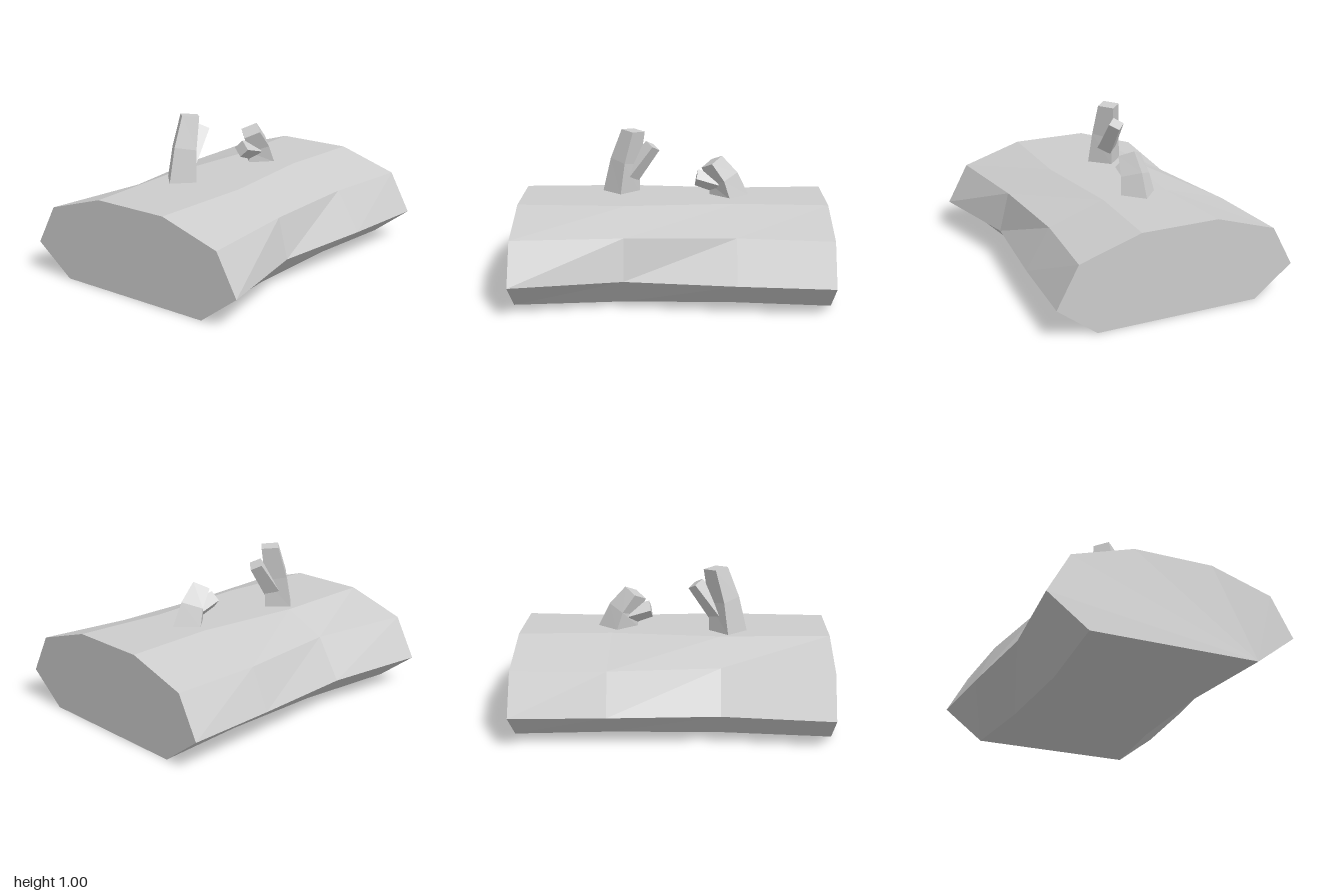
import * as THREE from 'three';

const stone = new THREE.MeshStandardMaterial({ color: 0xcccccc });
stone.name = 'plain grey';

// Faceted solid through a series of rings of [x, y, z] points, closed at both ends
function loft(name, rings) {
  const pos = [];
  const tri = (a, b, c) => pos.push(...a, ...b, ...c);
  const n = rings[0].length;
  for (let i = 0; i < rings.length - 1; i++) {
    const a = rings[i], b = rings[i + 1];
    for (let k = 0; k < n; k++) {
      const m = (k + 1) % n;
      tri(a[k], b[k], b[m]);
      tri(a[k], b[m], a[m]);
    }
  }
  const first = rings[0], last = rings[rings.length - 1];
  for (let k = 1; k < n - 1; k++) {
    tri(first[0], first[k], first[k + 1]);
    tri(last[0], last[k + 1], last[k]);
  }
  const geo = new THREE.BufferGeometry();
  geo.setAttribute('position', new THREE.Float32BufferAttribute(pos, 3));
  geo.computeVertexNormals(); // unshared corners give flat facets
  const mesh = new THREE.Mesh(geo, stone);
  mesh.name = name;
  return mesh;
}

// Diamond ring square to a direction (degrees in the xy plane)
function diamond(x, y, z, deg, r, rz = r) {
  const t = THREE.MathUtils.degToRad(deg);
  const ux = -Math.sin(t) * r, uy = Math.cos(t) * r;
  return [[x, y, z + rz], [x + ux, y + uy, z], [x, y, z - rz], [x - ux, y - uy, z]];
}

export function createModel() {
  const group = new THREE.Group();
  group.name = 'log';

  // Trunk: flat-bottomed eight-sided sections, pinched in the middle
  const heights = [0, 0.195, 0.455, 0.58, 0.58, 0.455, 0.195, 0];
  const sections = [
    [-1, [0.54, 0.797, 0.655, 0.255, -0.258, -0.658, -0.8, -0.54]],
    [-0.3, [0.47, 0.66, 0.595, 0.287, -0.29, -0.567, -0.725, -0.48]],
    [0.4, [0.48, 0.745, 0.587, 0.22, -0.222, -0.65, -0.772, -0.49]],
    [1, [0.54, 0.797, 0.655, 0.255, -0.258, -0.658, -0.8, -0.54]],
  ];
  group.add(loft('trunk', sections.map(([x, zs]) => zs.map((z, k) => [x, heights[k], z]))));

  // Tall branch with its twig
  group.add(loft('tallBranch', [
    diamond(-0.35, 0.575, -0.138, 90, 0.124, 0.12),
    diamond(-0.322, 0.785, -0.138, 78, 0.1),
    diamond(-0.267, 0.993, -0.135, 84, 0.078),
  ]));
  group.add(loft('tallBranchTwig', [
    diamond(-0.29, 0.69, -0.133, 55, 0.07),
    diamond(-0.137, 0.89, -0.133, 55, 0.055),
  ]));

  // Short bent branch with its twig
  group.add(loft('shortBranch', [
    diamond(0.375, 0.575, -0.036, 90, 0.13, 0.118),
    diamond(0.337, 0.69, -0.036, 113, 0.1),
    diamond(0.257, 0.802, -0.034, 121, 0.079),
  ]));
  group.add(loft('shortBranchTwig', [
    diamond(0.3, 0.655, -0.037, 165, 0.066),
    diamond(0.156, 0.695, -0.037, 168, 0.055),
  ]));

  return group;
}
